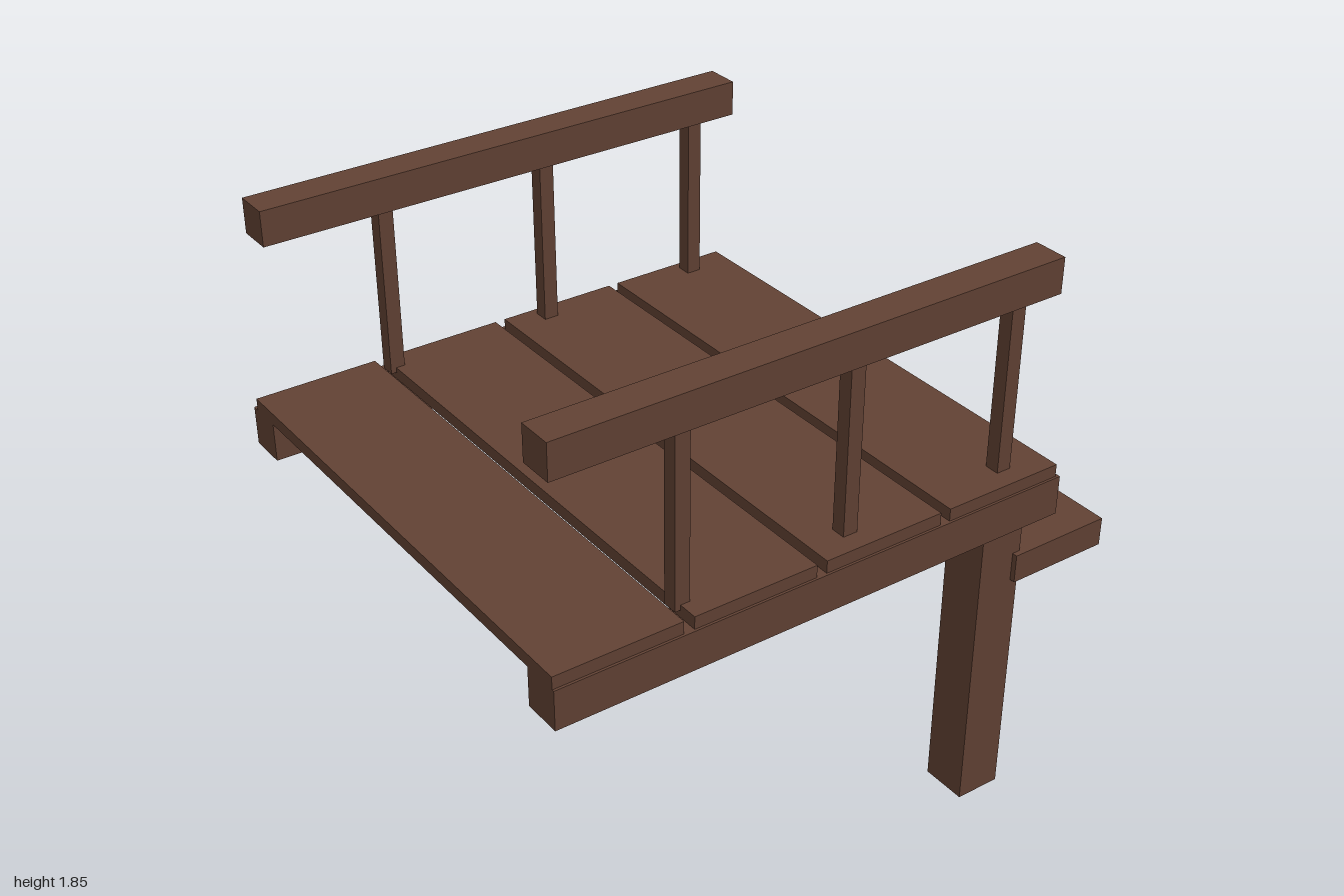
import * as THREE from 'three';

export function createModel() {
  const model = new THREE.Group();
  model.name = 'raisedDeck';
  const wood = new THREE.MeshStandardMaterial({ color: 0x624234 });
  wood.name = 'darkWood';

  // Timber given by its extents along each axis
  function timber(name, [x0, x1], [y0, y1], [z0, z1]) {
    const mesh = new THREE.Mesh(new THREE.BoxGeometry(x1 - x0, y1 - y0, z1 - z0), wood);
    mesh.name = name;
    mesh.position.set((x0 + x1) / 2, (y0 + y1) / 2, (z0 + z1) / 2);
    model.add(mesh);
  }

  // Deck planks with narrow gaps
  for (let i = 0; i < 4; i++) {
    const x = -1 + i * 0.456;
    timber('deckPlank', [x, x + 0.421], [1.13, 1.172], [-0.86, 0.872]);
  }

  // Each long side: beam, leg, handrail and its posts
  const sides = [
    { name: 'front', beam: [0.75, 0.88], leg: [0.716, 0.872], rail: [0.708, 0.824], post: [0.756, 0.806] },
    { name: 'back', beam: [-0.885, -0.753], leg: [-0.89, -0.735], rail: [-0.878, -0.76], post: [-0.831, -0.78] },
  ];
  for (const side of sides) {
    timber(side.name + 'Beam', [-1, 0.8], [0.997, 1.13], side.beam);
    timber(side.name + 'Leg', [0.515, 0.67], [0, 1.06], side.leg);
    timber(side.name + 'Handrail', [-0.96, 0.778], [1.73, 1.847], side.rail);
    for (const x of [-0.538, 0.048, 0.635]) {
      timber(side.name + 'RailPost', [x - 0.025, x + 0.025], [1.155, 1.74], side.post);
    }
  }

  // Step plank across the legs
  timber('step', [0.642, 1], [0.81, 0.907], [-0.872, 0.89]);

  return model;
}
